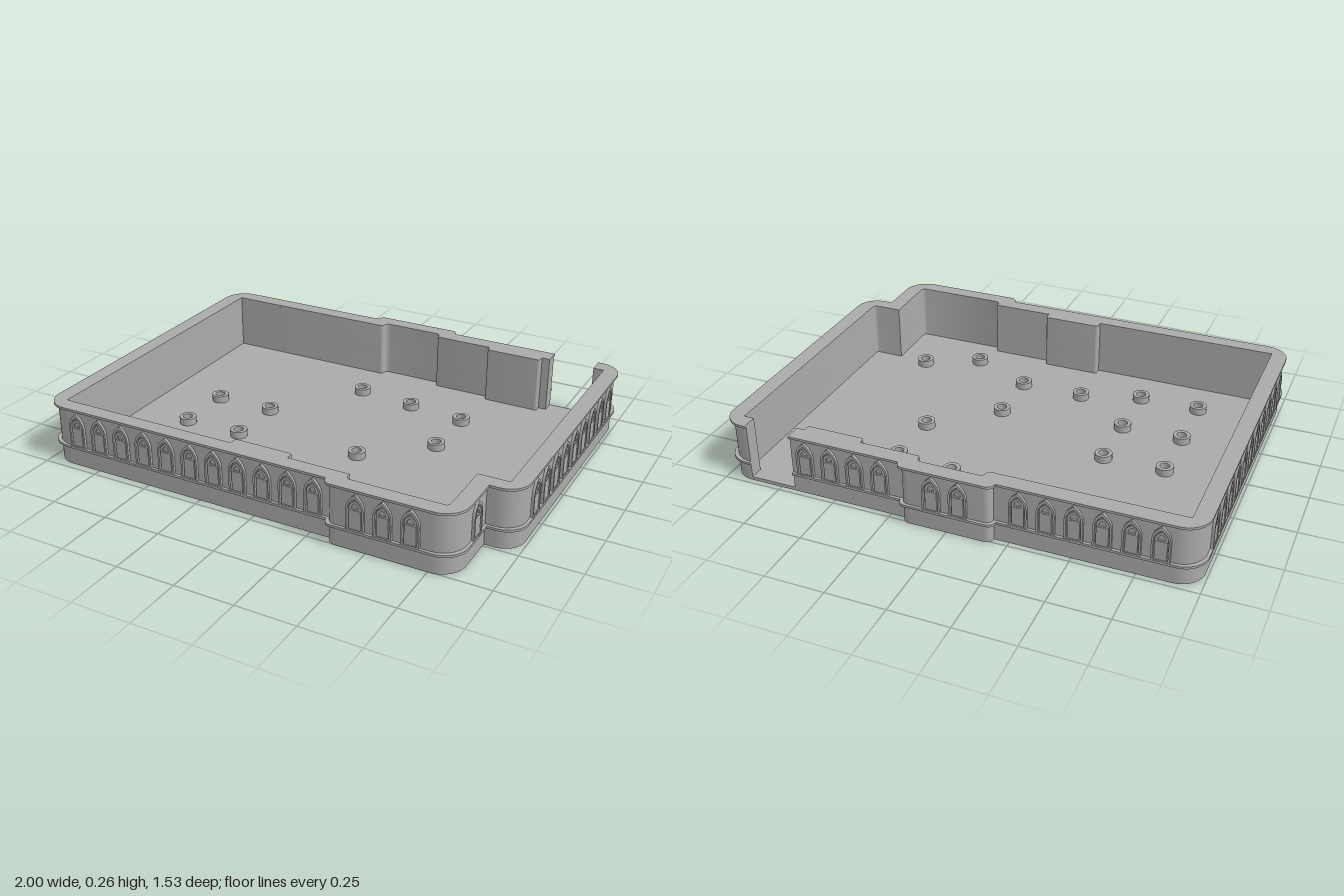
import * as THREE from 'three';
import { toCreasedNormals } from 'three/addons/utils/BufferGeometryUtils.js';

const stone = new THREE.MeshStandardMaterial({ color: 0xaaaaaa });
stone.name = 'grey stone';

// Plan corners as [x, -z, radius], both running from one side of the gateway round to the other
const OUTER = [
  [0.685, 0.74, 0], [0.2, 0.74, 0], [0.2, 0.77, 0.029], [-0.2, 0.77, 0.029], [-0.2, 0.74, 0],
  [-1, 0.74, 0.1], [-1, -0.73, 0.1], [0.325, -0.73, 0], [0.325, -0.765, 0.034], [0.87, -0.765, 0.1],
  [0.87, -0.5, 0], [1, -0.5, 0.09], [1, 0.74, 0.1], [0.885, 0.74, 0],
];
const INNER = [
  [0.885, 0.67, 0], [0.93, 0.67, 0], [0.93, -0.44, 0.012], [0.8, -0.44, 0], [0.8, -0.7, 0.015],
  [0.39, -0.7, 0.02], [0.39, -0.665, 0], [0.125, -0.665, 0], [0.125, -0.63, 0.01], [-0.13, -0.63, 0.01],
  [-0.13, -0.665, 0], [-0.93, -0.665, 0], [-0.93, 0.67, 0], [-0.14, 0.67, 0.012], [-0.14, 0.705, 0.02],
  [0.14, 0.705, 0.02], [0.14, 0.67, 0.012], [0.4, 0.67, 0], [0.4, 0.64, 0.01], [0.65, 0.64, 0.01],
  [0.65, 0.67, 0], [0.685, 0.67, 0],
];

// Moves an open chain of corners inwards by d
function inset(chain, d) {
  const normal = (a, b) => {
    const l = Math.hypot(b[0] - a[0], b[1] - a[1]);
    return [(b[1] - a[1]) / l, (a[0] - b[0]) / l];
  };
  return chain.map((p, i) => {
    const sides = [];
    if (i > 0) sides.push(normal(chain[i - 1], p));
    if (i < chain.length - 1) sides.push(normal(p, chain[i + 1]));
    const sx = sides.reduce((s, n) => s + n[0], 0);
    const sy = sides.reduce((s, n) => s + n[1], 0);
    return [p[0] - sx * d, p[1] - sy * d, p[2]];
  });
}

// Closed shape with rounded corners
function roundedShape(points) {
  const shape = new THREE.Shape();
  const n = points.length;
  points.forEach(([x, y, r], i) => {
    const c = new THREE.Vector2(x, y);
    const toward = (q, k) => new THREE.Vector2(q[0], q[1]).sub(c).setLength(k).add(c);
    const prev = points[(i + n - 1) % n], next = points[(i + 1) % n];
    const start = r ? toward(prev, r) : c;
    if (i === 0) shape.moveTo(start.x, start.y);
    else shape.lineTo(start.x, start.y);
    if (r) {
      const end = toward(next, r), a = toward(prev, r * 0.448), b = toward(next, r * 0.448);
      shape.bezierCurveTo(a.x, a.y, b.x, b.y, end.x, end.y);
    }
  });
  return shape;
}

function extrude(shape, depth) {
  const g = new THREE.ExtrudeGeometry(shape, { depth, bevelEnabled: false, curveSegments: 10 });
  return toCreasedNormals(g, 0.5);
}

// Extrudes a plan shape upwards between two heights
function storey(name, shape, y0, y1) {
  const g = extrude(shape, y1 - y0);
  g.rotateX(-Math.PI / 2);
  const mesh = new THREE.Mesh(g, stone);
  mesh.name = name;
  mesh.position.y = y0;
  return mesh;
}

// Pointed arch outline
function archPath(path, half, y0, spring, apex) {
  const mid = spring + (apex - spring) * 0.6;
  path.moveTo(-half, y0);
  path.lineTo(half, y0);
  path.lineTo(half, spring);
  path.quadraticCurveTo(half, mid, 0, apex);
  path.quadraticCurveTo(-half, mid, -half, spring);
  path.lineTo(-half, y0);
  return path;
}

function archRing(outer, inner, depth) {
  const shape = archPath(new THREE.Shape(), ...outer);
  shape.holes.push(archPath(new THREE.Path(), ...inner));
  return extrude(shape, depth);
}

export function createModel() {
  const model = new THREE.Group();
  model.name = 'walledTray';
  const FLOOR = 0.015;
  const posts = [
    [-0.125, -0.435], [0.14, -0.4], [0.4, -0.365], [0.4, -0.1], [-0.14, 0.39],
    [0.14, 0.13], [0.14, 0.39], [0.42, 0.525], [0.655, 0.415],
  ];
  for (const x of [-0.665, -0.4]) for (const z of [-0.06, 0.2, 0.47]) posts.push([x, z]);

  // Floor slab with a hole under each post
  const slab = roundedShape(inset(OUTER, 0.012));
  for (const [x, z] of posts) slab.holes.push(new THREE.Path().absarc(x, -z, 0.021, 0, Math.PI * 2, true));
  model.add(storey('floor', slab, 0, FLOOR));

  // Hollow posts
  const ring = new THREE.Shape().absarc(0, 0, 0.037, 0, Math.PI * 2, false);
  ring.holes.push(new THREE.Path().absarc(0, 0, 0.021, 0, Math.PI * 2, true));
  for (const [x, z] of posts) {
    const post = storey('post', ring, FLOOR, 0.046);
    post.position.x = x;
    post.position.z = z;
    model.add(post);
  }

  // Walls with two projecting bands, open at the gateway
  const wall = roundedShape([...inset(OUTER, 0.012), ...INNER]);
  const band = roundedShape([...OUTER, ...INNER]);
  model.add(
    storey('plinth', wall, FLOOR, 0.08),
    storey('lowerBand', band, 0.08, 0.09),
    storey('wall', wall, 0.09, 0.252),
    storey('topBand', band, 0.252, 0.262),
  );

  // Arched window pieces
  const pieces = [
    ['windowFrame', archRing([0.037, 0.09, 0.175, 0.241], [0.029, 0.096, 0.175, 0.226], 0.011)],
    ['windowArch', archRing([0.025, 0.176, 0.184, 0.216], [0.014, 0.181, 0.185, 0.204], 0.007)],
    ['windowPanel', new THREE.BoxGeometry(0.048, 0.08, 0.008).translate(0, 0.136, 0.004)],
  ];
  function addWindow(x, z, turn) {
    const w = new THREE.Group();
    w.name = 'window';
    for (const [name, geometry] of pieces) {
      const mesh = new THREE.Mesh(geometry, stone);
      mesh.name = name;
      w.add(mesh);
    }
    w.position.set(x, 0, z);
    w.rotation.y = turn;
    model.add(w);
  }

  // Rows of windows along each side
  const row = (first, count, place) => {
    for (let i = 0; i < count; i++) place(first + i * 0.1105);
  };
  const front = z => x => addWindow(x, z, 0);
  const back = z => x => addWindow(x, z, Math.PI);
  const right = x => z => addWindow(x, z, Math.PI / 2);
  const left = x => z => addWindow(x, z, -Math.PI / 2);
  row(-0.84, 11, front(0.718));
  row(0.46, 3, front(0.753));
  row(-0.84, 6, back(-0.728));
  row(-0.055, 2, back(-0.758));
  row(0.29, 4, back(-0.728));
  row(-0.555, 9, right(0.988));
  row(0.582, 1, right(0.858));
  row(-0.555, 11, left(-0.988));
  return model;
}
